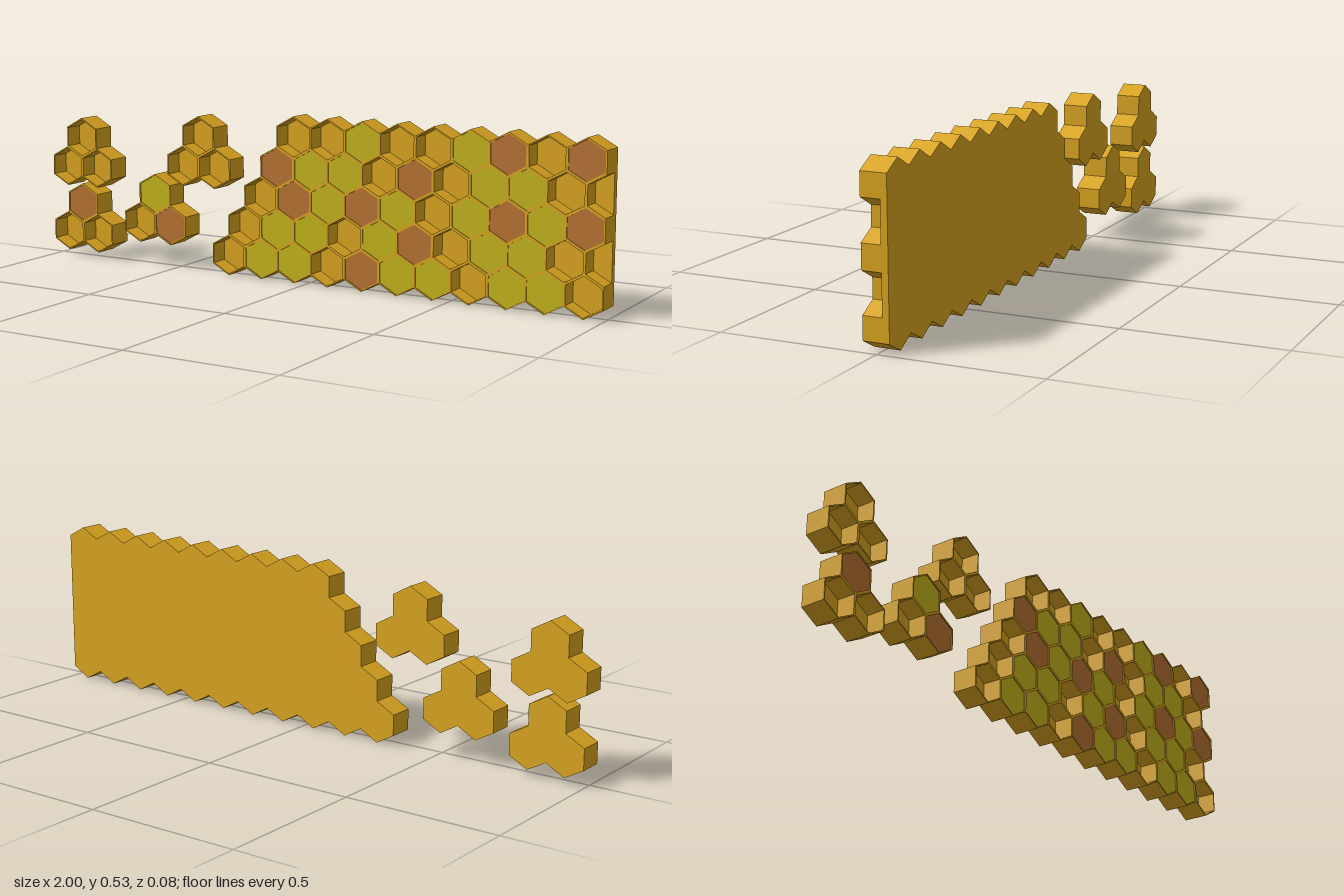
import * as THREE from 'three';

// lattice units: half a cell width, quarter of a cell height
const W = 0.06125, H = 0.03333, INNER = 0.93;
const BACK = -0.041, FLOOR = -0.02, RIM = 0.041, CAP = 0.038;
const HEX = [[0, -2], [1, -1], [1, 1], [0, 2], [-1, 1], [-1, -1]];
const HALF = [[0, -2], [0, 2], [-1, 1], [-1, -1]];
const HALF_WALL = [[0, -2], [0, -2 * INNER], [-INNER, -INNER], [-INNER, INNER],
  [0, 2 * INNER], [0, 2], [-1, 1], [-1, -1]];

const wax = new THREE.MeshStandardMaterial({ color: 0xdaa520 });
const fills = {
  g: { name: 'honeyCap', material: new THREE.MeshStandardMaterial({ color: 0xc4b51c }) },
  b: { name: 'broodCap', material: new THREE.MeshStandardMaterial({ color: 0xb87333 }) },
};

const place = (poly, [cx, cy], s = 1) => poly.map(([x, y]) => [cx + x * s, cy + y * s]);
const toPoints = (poly) => poly.map(([x, y]) => new THREE.Vector2(x * W, y * H));

// joins touching polygons into one outline by dropping their shared edges
function outline(polys) {
  const edges = new Map();
  for (const poly of polys) {
    poly.forEach((a, i) => {
      const b = poly[(i + 1) % poly.length];
      if (!edges.delete(`${b}|${a}`)) edges.set(`${a}|${b}`, [a, b]);
    });
  }
  const next = new Map([...edges.values()].map(([a, b]) => [`${a}`, b]));
  const start = edges.values().next().value[0];
  const loop = [start];
  for (let p = next.get(`${start}`); `${p}` !== `${start}`; p = next.get(`${p}`)) loop.push(p);
  return loop;
}

function slab(name, shape, z0, z1, material) {
  const geometry = new THREE.ExtrudeGeometry(shape, { depth: z1 - z0, bevelEnabled: false });
  const mesh = new THREE.Mesh(geometry, material);
  mesh.name = name;
  mesh.position.z = z0;
  return mesh;
}

// cells: { c: lattice centre, type: o open, g honey, b brood, h open half cell }
function buildComb(name, cells, x, y) {
  const group = new THREE.Group();
  group.name = name;
  group.position.set(x, y, 0);

  // solid back plate
  const plate = outline(cells.map(({ c, type }) => place(type === 'h' ? HALF : HEX, c)));
  group.add(slab('backPlate', new THREE.Shape(toPoints(plate)), BACK, FLOOR, wax));

  // cell walls with one hole per whole cell
  const rim = outline(cells.map(({ c, type }) => place(type === 'h' ? HALF_WALL : HEX, c)));
  const walls = new THREE.Shape(toPoints(rim));
  for (const { c, type } of cells) {
    if (type === 'h') continue;
    const inner = toPoints(place(HEX, c, INNER));
    walls.holes.push(new THREE.Path(inner.slice().reverse()));
    // filled cells
    const fill = fills[type];
    if (fill) group.add(slab(fill.name, new THREE.Shape(inner), FLOOR, CAP, fill.material));
  }
  group.add(slab('cellWalls', walls, FLOOR, RIM, wax));
  return group;
}

export function createModel() {
  const model = new THREE.Group();
  model.name = 'honeycomb';

  // main comb, rows from the bottom up, each ending at the cut right edge
  const rows = ['oggobggoggo', 'oggogboggoh', 'obgbgogbgb', 'bggoboggoh'.replace(' ', ''), 'oogoogbob'];
  const cells = rows.flatMap((row, r) => [...row].map((type, i) => ({
    c: [(r % 2 ? 0 : -1) - 2 * (row.length - 1 - i), 3 * r], type,
  })));
  model.add(buildComb('mainComb', cells, 1, 2 * H));

  // loose three-cell pieces: types are lower left, lower right, top
  const pieces = [
    ['ooo', -0.8775, 0.31], ['oob', -0.8775, 0.087],
    ['obg', -0.578, 0.142], ['ooo', -0.402, 0.345],
  ];
  const spots = [[-1, 0], [1, 0], [0, 3]];
  pieces.forEach(([types, x, y], i) => {
    const trio = spots.map((c, k) => ({ c, type: types[k] }));
    model.add(buildComb(`loosePiece${i + 1}`, trio, x, y));
  });
  return model;
}
